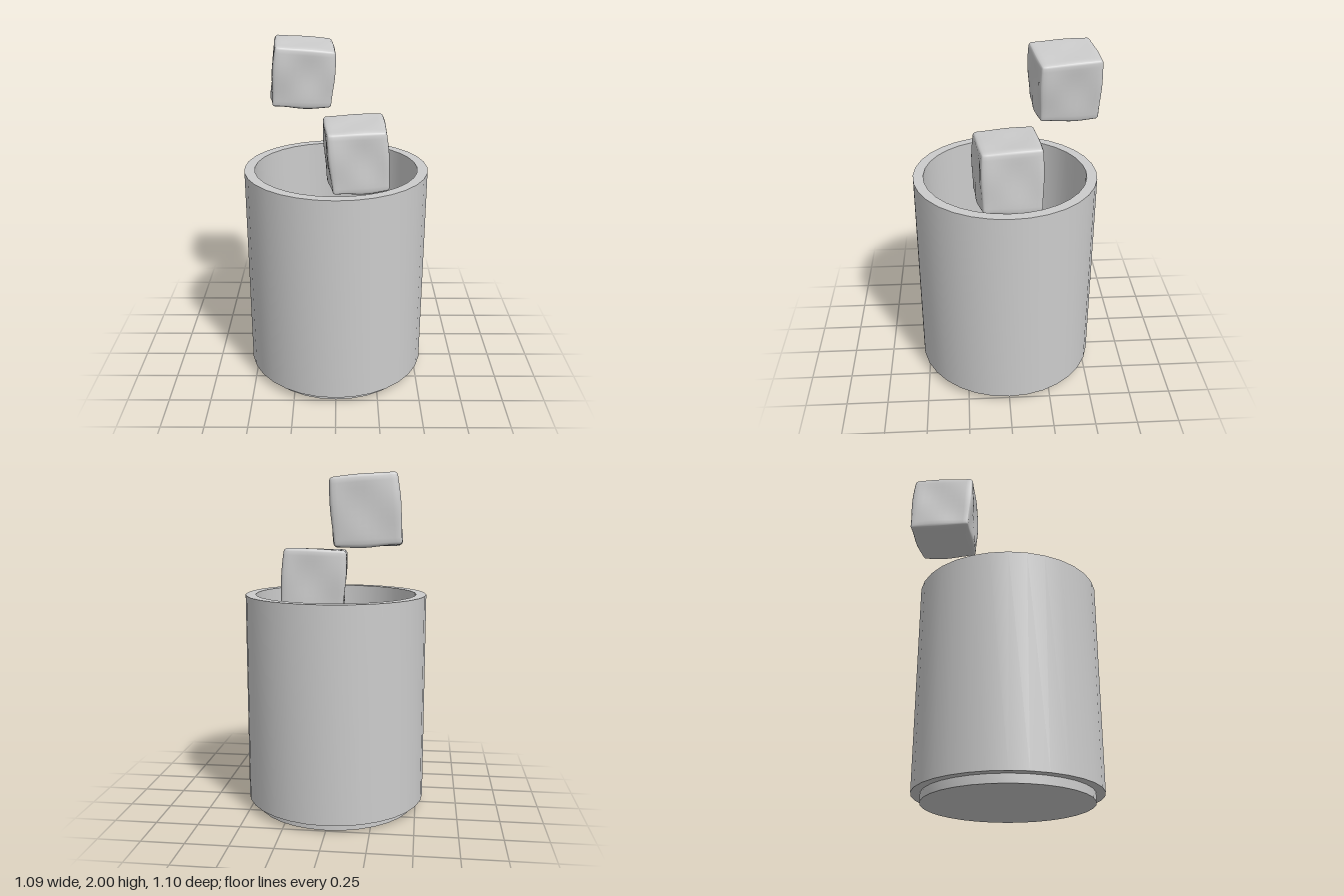
import * as THREE from 'three';
import { mergeVertices, toCreasedNormals } from 'three/addons/utils/BufferGeometryUtils.js';

const grey = new THREE.MeshStandardMaterial({ color: 0xcccccc });
grey.name = 'paleGrey';

// Rounded, slightly wavy cube stretched over eight corners.
// Corner order: bottom then top; in each back left, back right, front left, front right.
function iceCube(name, corners) {
  const points = corners.map((c) => new THREE.Vector3(...c));
  let geo = new THREE.BoxGeometry(1, 1, 1, 14, 14, 14);
  geo.deleteAttribute('normal');
  geo.deleteAttribute('uv');
  geo = mergeVertices(geo);
  const pos = geo.attributes.position;
  const p = new THREE.Vector3();
  const core = new THREE.Vector3();
  const out = new THREE.Vector3();
  const radius = 0.07;
  const inner = 0.5 - radius;
  for (let i = 0; i < pos.count; i++) {
    // crowd the grid towards the edges, then round them
    p.fromBufferAttribute(pos, i);
    p.set(...p.toArray().map((v) => Math.sin(v * Math.PI) / 2));
    core.copy(p).clampScalar(-inner, inner);
    p.sub(core).normalize();
    const wave = 0.018 * Math.sin(core.x * 7 + 1) * Math.cos(core.y * 6 - 0.6) * Math.cos(core.z * 7 + 0.5);
    p.multiplyScalar(radius + wave).add(core).addScalar(0.5);
    // blend between the eight corners
    out.set(0, 0, 0);
    points.forEach((corner, k) => {
      const wx = k & 1 ? p.x : 1 - p.x;
      const wz = k & 2 ? p.z : 1 - p.z;
      const wy = k & 4 ? p.y : 1 - p.y;
      out.addScaledVector(corner, wx * wy * wz);
    });
    pos.setXYZ(i, out.x, out.y, out.z);
  }
  geo.computeVertexNormals();
  const mesh = new THREE.Mesh(geo, grey);
  mesh.name = name;
  return mesh;
}

export function createModel() {
  const model = new THREE.Group();
  model.name = 'tumblerWithIce';

  // Thick-walled tumbler: stepped foot, straight wall, rim, hollow with recessed floor
  const profile = [
    [0, 0], [0.49, 0], [0.49, 0.05], [0.5425, 0.05], [0.5425, 1.305],
    [0.482, 1.305], [0.482, 0.15], [0.448, 0.15], [0.443, 0.1], [0, 0.1],
  ].map(([r, y]) => new THREE.Vector2(r, y));
  const tumbler = new THREE.Mesh(toCreasedNormals(new THREE.LatheGeometry(profile, 32), 0.6), grey);
  tumbler.name = 'tumbler';
  model.add(tumbler);

  // Ice cubes: one above the glass, one dropping in
  model.add(
    iceCube('upperIceCube', [
      [-0.42, 1.62, -0.535], [-0.05, 1.605, -0.55], [-0.39, 1.62, -0.165], [-0.025, 1.605, -0.2],
      [-0.385, 2.005, -0.525], [-0.025, 1.975, -0.555], [-0.36, 1.99, -0.15], [0.005, 1.95, -0.2],
    ]),
    iceCube('lowerIceCube', [
      [-0.065, 1.2, -0.175], [0.31, 1.2, -0.205], [-0.02, 1.19, 0.2], [0.32, 1.2, 0.145],
      [-0.085, 1.575, -0.175], [0.285, 1.59, -0.2], [-0.055, 1.56, 0.19], [0.292, 1.565, 0.147],
    ]),
  );
  return model;
}
